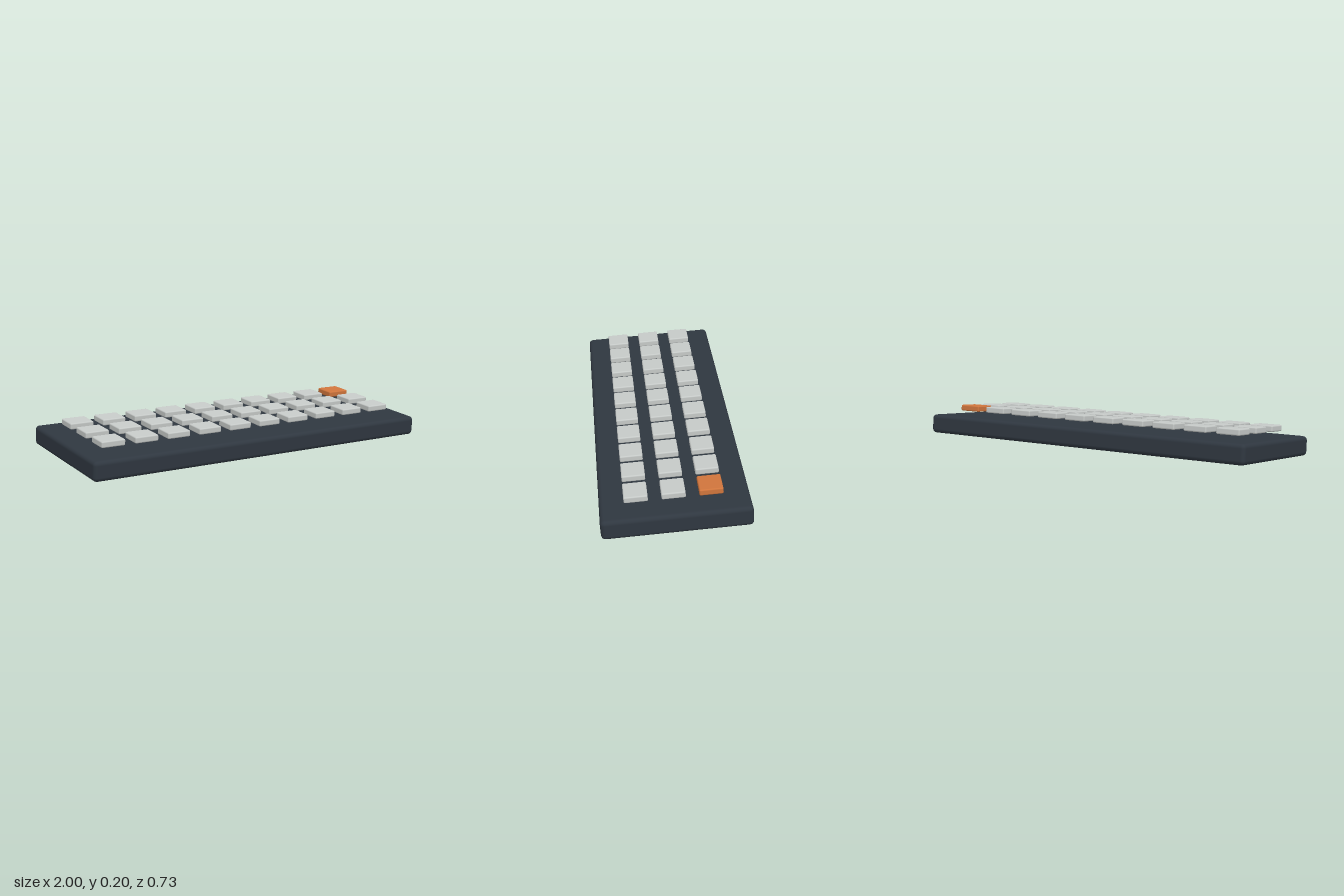
import * as THREE from 'three';
import { RoundedBoxGeometry } from 'three/addons/geometries/RoundedBoxGeometry.js';

const mat = (name, color) => {
  const m = new THREE.MeshStandardMaterial({ color });
  m.name = name;
  return m;
};

export function createModel() {
  const slate = mat('slate', 0x2f3740);
  const lightGrey = mat('light grey', 0xc6cac8);
  const orange = mat('orange', 0xd0753c);

  // Everything sits in one frame, tilted so the back edge is raised
  const keyboard = new THREE.Group();
  keyboard.name = 'keyboard';
  keyboard.position.y = 0.0755;
  keyboard.rotation.x = 0.068;

  // Case
  const body = new THREE.Mesh(new RoundedBoxGeometry(2, 0.104, 0.732, 2, 0.022), slate);
  body.name = 'case';
  keyboard.add(body);

  // Three rows of ten keys, hovering just above the case
  const keyGeometry = new RoundedBoxGeometry(0.13, 0.033, 0.117, 2, 0.007);
  const rows = 3, columns = 10;
  for (let r = 0; r < rows; r++) {
    for (let c = 0; c < columns; c++) {
      const accent = r === 0 && c === columns - 1; // back corner key
      const key = new THREE.Mesh(keyGeometry, accent ? orange : lightGrey);
      key.name = accent ? 'accentKey' : `key_${r + 1}_${c + 1}`;
      key.position.set(-0.838 + c * 0.1852, 0.093, -0.178 + r * 0.182);
      keyboard.add(key);
    }
  }

  const model = new THREE.Group();
  model.name = 'model';
  model.add(keyboard);
  return model;
}
